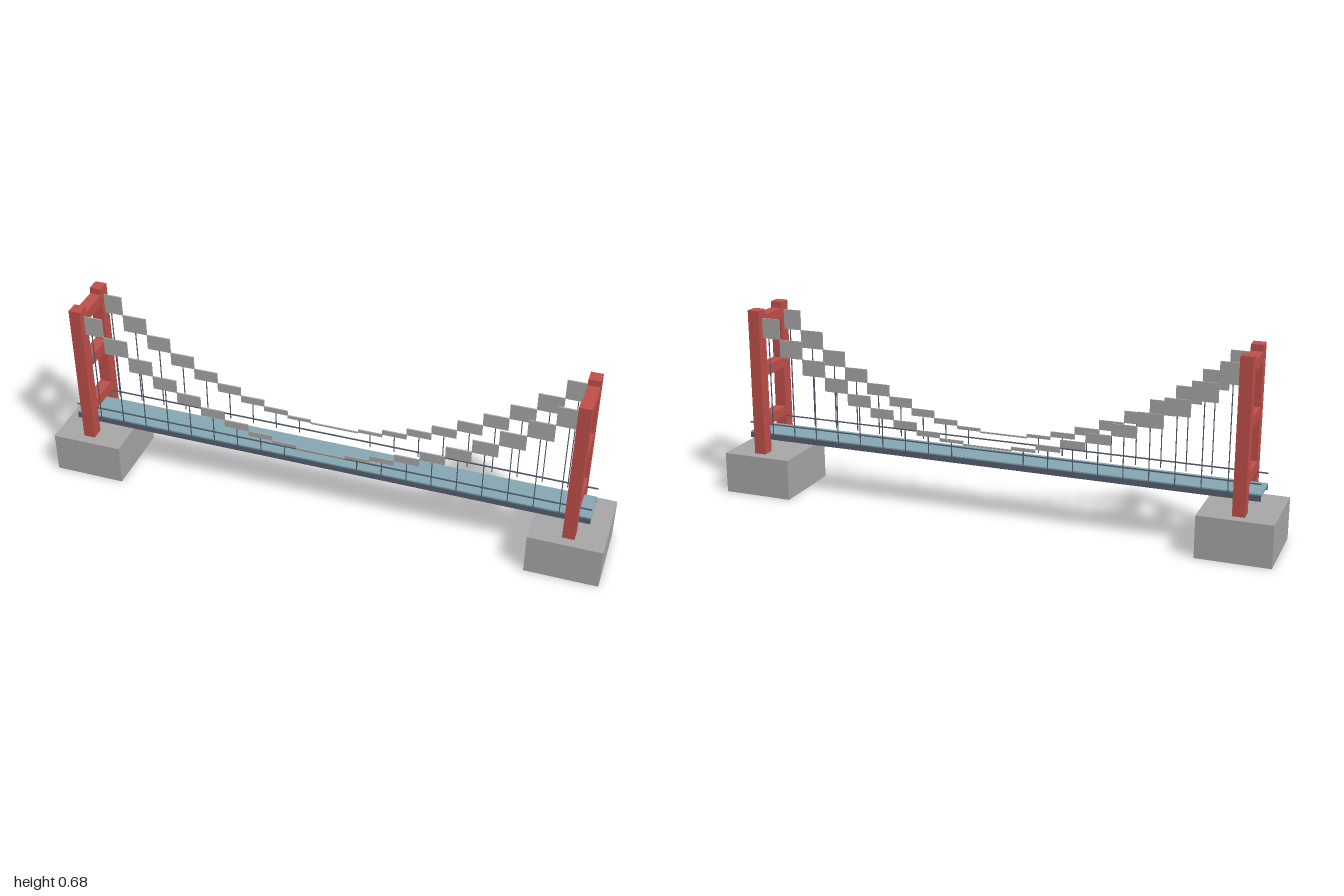
import * as THREE from 'three';

export function createModel() {
  const bridge = new THREE.Group();
  bridge.name = 'suspensionBridge';

  const paint = (name, color) => {
    const m = new THREE.MeshStandardMaterial({ color });
    m.name = name;
    return m;
  };
  const red = paint('towerRed', 0xc0504a);
  const grey = paint('concreteGrey', 0xa8a8a8);
  const blue = paint('deckBlue', 0x86a9b5);
  const slate = paint('girderSlate', 0x566070);

  // Box given by its ranges along x, y and z
  const box = (parent, name, mat, [x0, x1], [y0, y1], [z0, z1]) => {
    const mesh = new THREE.Mesh(new THREE.BoxGeometry(x1 - x0, y1 - y0, z1 - z0), mat);
    mesh.position.set((x0 + x1) / 2, (y0 + y1) / 2, (z0 + z1) / 2);
    mesh.name = name;
    parent.add(mesh);
  };
  const around = (c, size) => [c - size / 2, c + size / 2];

  const towerX = 0.877;
  const cableZ = 0.077;

  // Piers and towers
  for (const s of [-1, 1]) {
    const tower = new THREE.Group();
    tower.name = s > 0 ? 'leftTower' : 'rightTower';
    bridge.add(tower);
    box(tower, 'pier', grey, around(s * 0.8725, 0.255), [0, 0.148], [-0.14, 0.14]);
    for (const z of [-0.081, 0.081]) {
      box(tower, 'towerLeg', red, around(s * towerX, 0.042), [0.148, 0.68], around(z, 0.046));
    }
    for (const y of [0.269, 0.454, 0.639]) {
      box(tower, 'crossBeam', red, around(s * towerX, 0.042), around(y, 0.037), [-0.058, 0.058]);
    }
  }

  // Road deck
  box(bridge, 'deck', blue, [-0.937, 0.937], [0.205, 0.217], [-0.058, 0.058]);

  // Stepped cable follows a parabola
  const segments = 20;
  const step = (2 * towerX) / segments;
  const cableY = (x) => 0.267 + 0.498 * x * x;

  for (const s of [-1, 1]) {
    const side = new THREE.Group();
    side.name = s > 0 ? 'frontSide' : 'backSide';
    bridge.add(side);
    box(side, 'girder', slate, [-0.937, 0.937], [0.193, 0.213], around(s * 0.0585, 0.007));
    box(side, 'railing', slate, [-0.937, 0.937], around(0.251, 0.004), around(s * 0.058, 0.004));

    for (let i = 0; i < segments; i++) {
      const x0 = -towerX + i * step;
      const x1 = x0 + step;
      const mid = (x0 + x1) / 2;
      const yMid = (cableY(x0) + cableY(x1)) / 2;
      const height = Math.max(0.005, Math.abs(cableY(x1) - cableY(x0)));
      box(side, 'cableSegment', grey, [x0, x1], around(yMid, height), around(s * cableZ, 0.005));
      // Hangers, left out at the low middle
      if (Math.abs(mid) > 0.1) {
        box(side, 'hanger', slate, around(mid, 0.003), [0.217, yMid], around(s * cableZ, 0.003));
      }
    }
  }
  return bridge;
}
